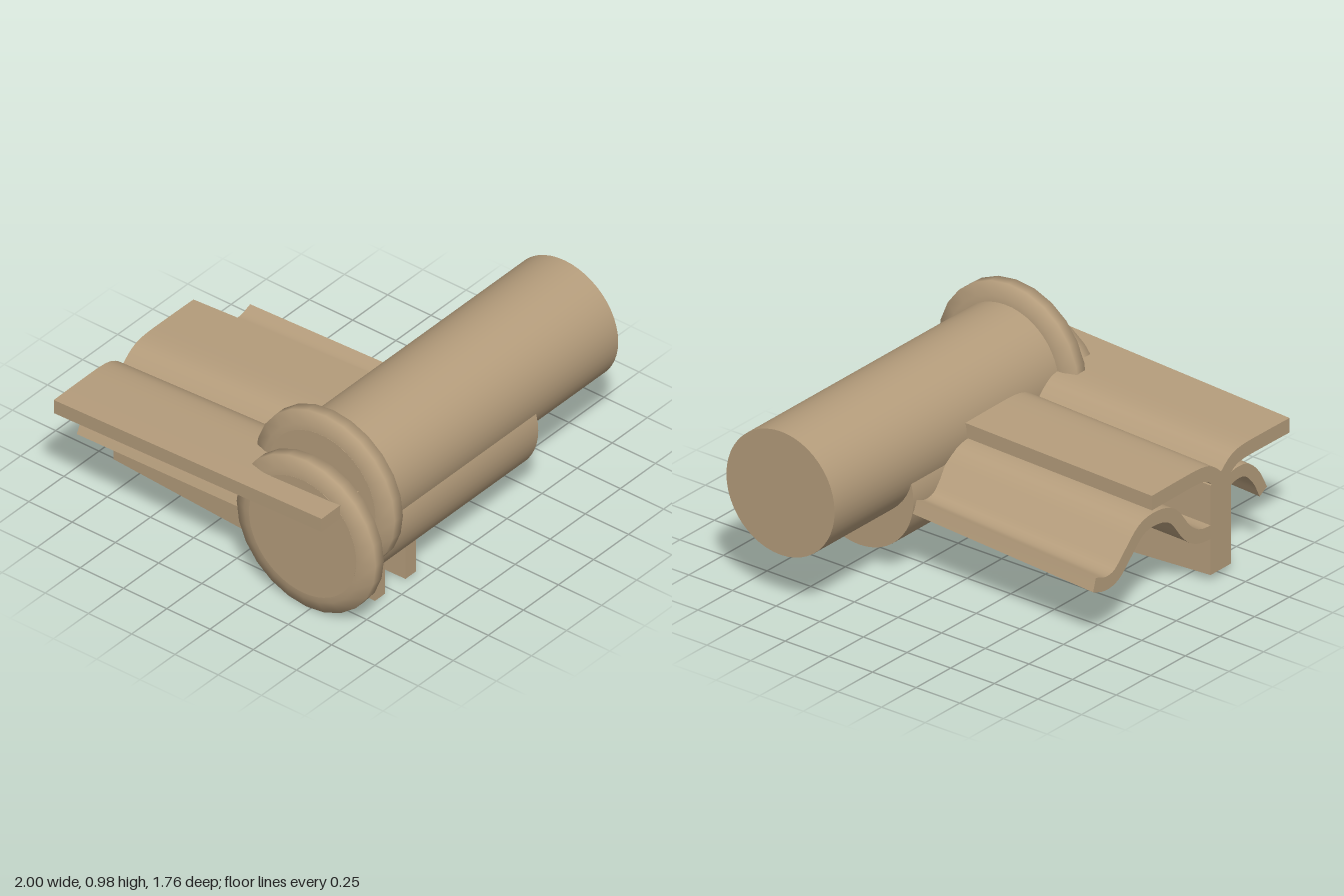
import * as THREE from 'three';
import { toCreasedNormals } from 'three/addons/utils/BufferGeometryUtils.js';

const BACK = -0.88, LENGTH = 1.57;

export function createModel() {
  const model = new THREE.Group();
  const tan = new THREE.MeshStandardMaterial({ color: 0xb59d7c });
  tan.name = 'tan';

  const add = (name, geometry, parent = model) => {
    const mesh = new THREE.Mesh(geometry, tan);
    mesh.name = name;
    parent.add(mesh);
  };

  // Extrudes a back-end outline along z; move(x, t) gives the [dx, dy] drift, t = 1 at the front
  const extrude = (outline, move) => {
    const g = new THREE.ExtrudeGeometry(new THREE.Shape(outline), { depth: LENGTH, bevelEnabled: false, steps: 1 });
    g.translate(0, 0, BACK);
    const p = g.attributes.position;
    for (let i = 0; i < p.count; i++) {
      const t = (p.getZ(i) - BACK) / LENGTH;
      const [dx, dy] = move(p.getX(i), p.getY(i));
      p.setXY(i, p.getX(i) + dx * t, p.getY(i) + dy * t);
    }
    return toCreasedNormals(g, 0.6);
  };

  // Closed outline of an even sheet around a smooth centre line
  const sheet = (points, thickness, divisions) => {
    const curve = new THREE.SplineCurve(points.map(([x, y]) => new THREE.Vector2(x, y)));
    const upper = [], lower = [];
    for (let i = 0; i <= divisions; i++) {
      const c = curve.getPoint(i / divisions), d = curve.getTangent(i / divisions);
      const n = new THREE.Vector2(-d.y, d.x).multiplyScalar(thickness / 2);
      upper.push(c.clone().add(n));
      lower.unshift(c.clone().sub(n));
    }
    return lower.concat(upper);
  };

  // Rollers lying along x, each with a rounded flange at its -x end
  const roller = (name, y, x0, x1) => {
    const group = new THREE.Group();
    group.name = name;
    group.position.set(0, y, 0.475);
    const barrel = new THREE.CylinderGeometry(0.31, 0.31, x1 - x0, 48);
    barrel.rotateZ(-Math.PI / 2).translate((x0 + x1) / 2, 0, 0);
    add('barrel', barrel, group);
    const rim = [[0.305, 0], [0.34, 0.003], [0.402, 0.026], [0.402, 0.084], [0.34, 0.109], [0.305, 0.112]];
    const flange = new THREE.LatheGeometry(rim.map(([r, h]) => new THREE.Vector2(r, h)), 24);
    flange.rotateZ(-Math.PI / 2).translate(x0, 0, 0);
    add('flange', flange, group);
    model.add(group);
  };
  roller('upperRoller', 0.58, -0.732, 1);
  roller('lowerRoller', 0.407, -0.868, 0.43);

  // Top plates, curving down into the valley between them
  const plateDrift = (x) => [0.055 * (x + 0.475), 0.068];
  add('rightTopPlate', extrude(sheet(
    [[-0.97, 0.568], [-0.8, 0.57], [-0.63, 0.568], [-0.55, 0.545], [-0.475, 0.48]], 0.073, 20), plateDrift));
  add('leftTopPlate', extrude(sheet(
    [[-0.475, 0.48], [-0.4, 0.545], [-0.32, 0.568], [-0.15, 0.57], [0.025, 0.568]], 0.073, 20), plateDrift));

  // Wavy sheet on the left
  add('wavySheet', extrude(sheet(
    [[-0.43, 0.255], [-0.32, 0.265], [-0.23, 0.32], [-0.13, 0.44], [-0.02, 0.48], [0.1, 0.465],
      [0.2, 0.38], [0.28, 0.31], [0.36, 0.295], [0.44, 0.32]], 0.068, 36),
  (x) => [0.07 - 0.125 * (x + 0.4), 0.085]));

  // Short hooked sheet on the right
  add('hookedSheet', extrude(sheet(
    [[-0.78, 0.31], [-0.73, 0.4], [-0.66, 0.465], [-0.58, 0.475], [-0.5, 0.45]], 0.06, 20),
  () => [-0.04, 0.07]));

  // Two upright rails that meet at the back
  for (const side of [-1, 1]) {
    const inner = -0.472, outer = inner + side * 0.073;
    const corners = [[inner, 0.04], [outer, 0.04], [outer, 0.49], [inner, 0.49]];
    add(side < 0 ? 'rightRail' : 'leftRail', extrude(
      corners.map(([x, y]) => new THREE.Vector2(x, y)),
      (x, y) => [side * 0.073, y < 0.1 ? -0.033 : 0.07]));
  }
  return model;
}
